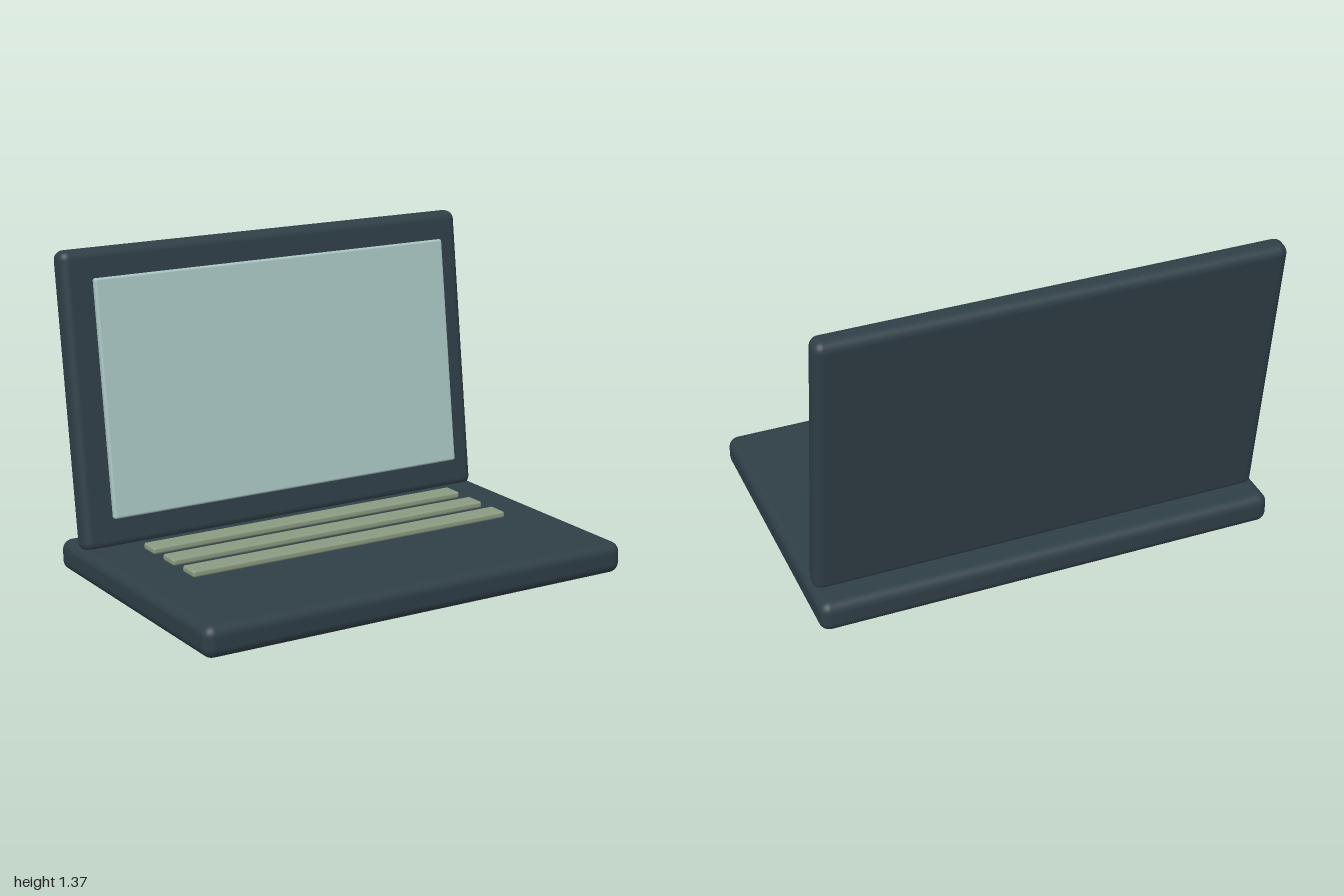
import * as THREE from 'three';
import { RoundedBoxGeometry } from 'three/addons/geometries/RoundedBoxGeometry.js';

const material = (color) => new THREE.MeshStandardMaterial({ color });
const CASE = material(0x2f3e46);
const GLASS = material(0xa8c5c2);
const KEYS = material(0x8a9a80);

// Rounded slab given its size, centre and edge radius
function slab(name, [w, h, d], [x, y, z], radius, mat) {
  const mesh = new THREE.Mesh(new RoundedBoxGeometry(w, h, d, 4, radius), mat);
  mesh.name = name;
  mesh.position.set(x, y, z);
  return mesh;
}

export function createModel() {
  const model = new THREE.Group();
  model.name = 'laptop';

  // Base, lying flat
  model.add(slab('base', [2, 0.135, 1.31], [0, 0.0675, 0.02], 0.045, CASE));

  // Three long key rows, just above the base
  [0.096, -0.077, -0.251].forEach((z, i) => {
    model.add(slab(`keyRow${i + 1}`, [1.54, 0.029, 0.096], [0, 0.1545, z], 0.01, KEYS));
  });

  // Lid and screen share one backward lean
  const lid = slab('lid', [1.966, 1.267, 0.102], [0, 0.745, -0.538], 0.04, CASE);
  const screen = slab('screen', [1.725, 1.01, 0.03], [0, 0.763, -0.451], 0.01, GLASS);
  for (const part of [lid, screen]) {
    part.rotation.x = -0.13;
    model.add(part);
  }

  return model;
}
